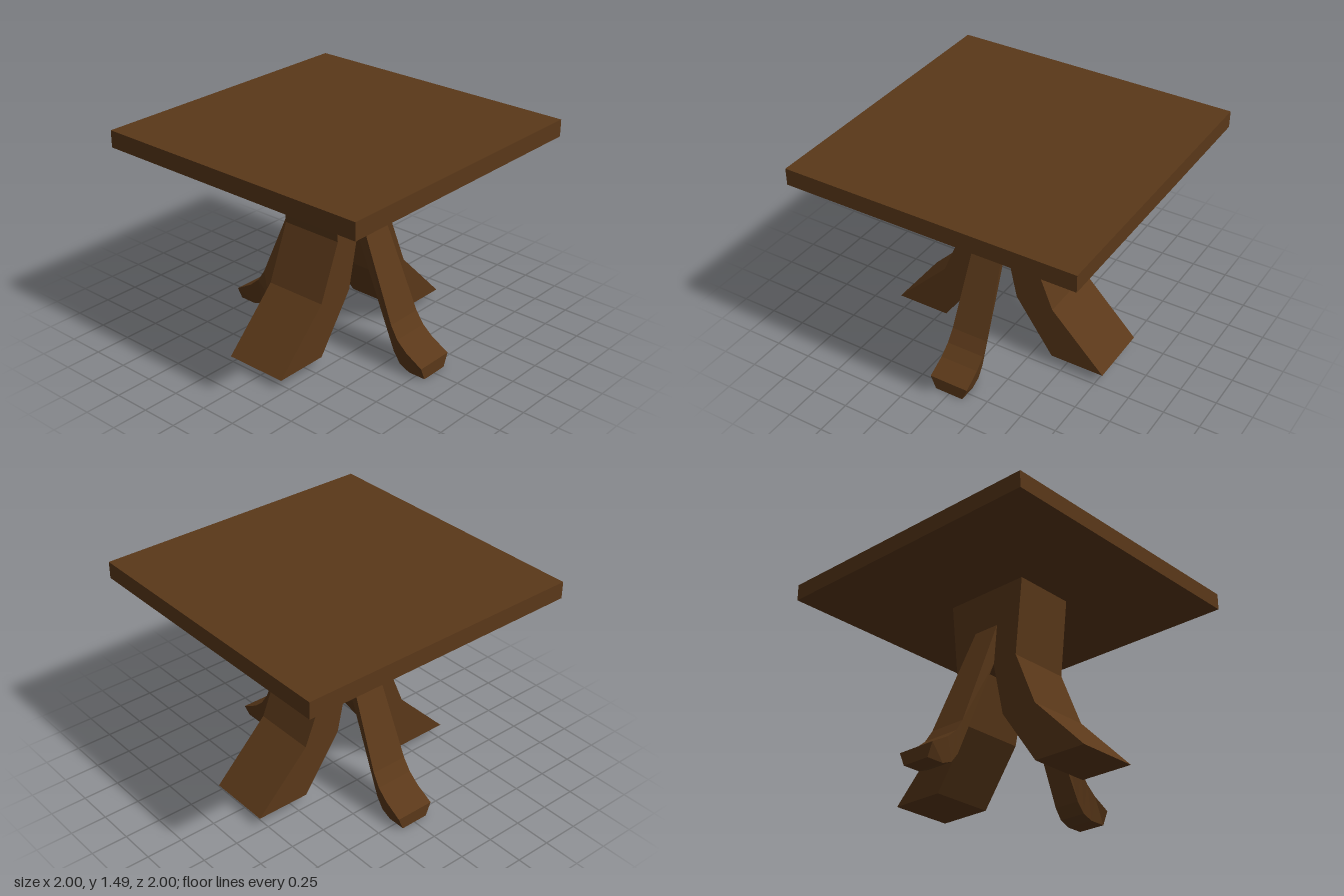
import * as THREE from 'three';

const wood = new THREE.MeshStandardMaterial({ color: 0x5a3819, flatShading: true });

// Skin a row of four-cornered rings and cap both ends
function loft(rings) {
  const pos = [];
  const quad = (a, b, c, d) => pos.push(...a, ...b, ...c, ...a, ...c, ...d);
  for (let i = 0; i < rings.length - 1; i++) {
    for (let k = 0; k < 4; k++) {
      const n = (k + 1) % 4;
      quad(rings[i][k], rings[i][n], rings[i + 1][n], rings[i + 1][k]);
    }
  }
  const first = rings[0], last = rings[rings.length - 1];
  quad(first[3], first[2], first[1], first[0]);
  quad(last[0], last[1], last[2], last[3]);
  const geo = new THREE.BufferGeometry();
  geo.setAttribute('position', new THREE.Float32BufferAttribute(pos, 3));
  geo.computeVertexNormals();
  return geo;
}

// Each section: top z, top y, bottom z, bottom y, top half width, bottom half width
function braceGeometry() {
  const sections = [
    [0.20, 1.15, 0.20, 0.88, 0.094, 0.068],
    [0.22, 1.105, 0.22, 0.835, 0.095, 0.07],
    [0.56, 0.31, 0.56, 0.10, 0.13, 0.095],
    [0.615, 0.225, 0.615, 0.03, 0.134, 0.098],
    [0.69, 0.16, 0.69, 0, 0.136, 0.1],
    [0.815, 0.09, 0.815, 0, 0.138, 0.1],
  ];
  return loft(sections.map(([tz, ty, bz, by, tw, bw]) => [
    [-bw, by, bz], [bw, by, bz], [tw, ty, tz], [-tw, ty, tz],
  ]));
}

export function createModel() {
  const group = new THREE.Group();
  const add = (geo, name) => {
    const mesh = new THREE.Mesh(geo, wood);
    mesh.name = name;
    group.add(mesh);
    return mesh;
  };

  // Square slab top
  add(new THREE.BoxGeometry(2, 0.115, 2), 'tableTop').position.y = 1.43;

  // Flared pedestal splitting into two side legs
  const half = [[0.312, 1.375], [0.257, 0.835], [0.413, 0.455], [0.793, 0.07],
    [0.415, 0.07], [0.147, 0.455], [0.065, 0.835]];
  const outline = [...half, ...half.map(([x, y]) => [-x, y]).reverse()];
  const shape = new THREE.Shape(outline.map(([x, y]) => new THREE.Vector2(x, y)));
  const pedestal = new THREE.ExtrudeGeometry(shape, { depth: 0.444, bevelEnabled: false });
  pedestal.translate(0, 0, -0.222);
  add(pedestal, 'pedestalWithSideLegs');

  // Slender curved legs at front and back
  const brace = braceGeometry();
  add(brace, 'frontLeg');
  add(brace, 'backLeg').rotation.y = Math.PI;

  return group;
}
